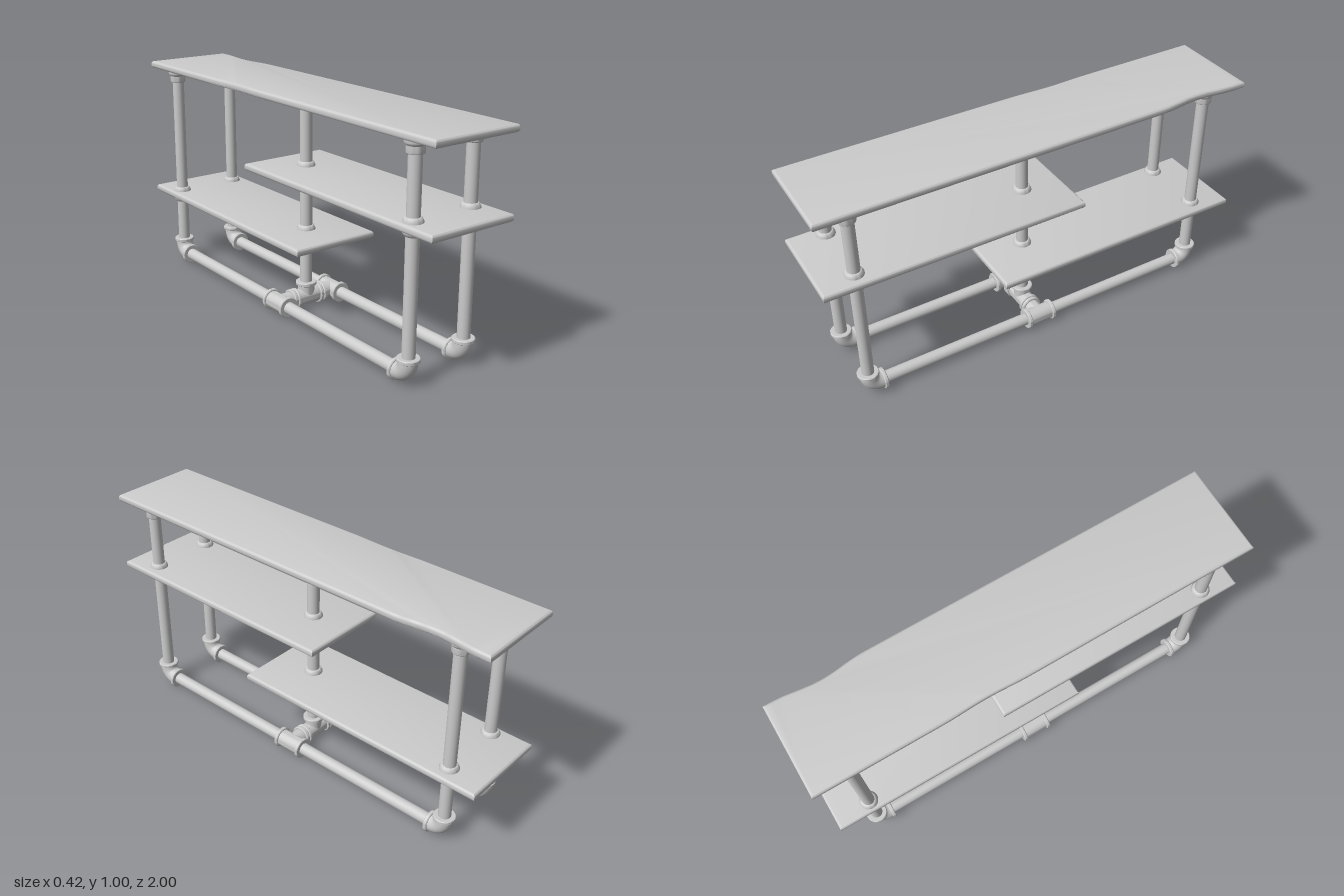
import * as THREE from 'three';
import { toCreasedNormals } from 'three/addons/utils/BufferGeometryUtils.js';

const SEG = 32;
const PIPE_R = 0.027;
const BASE_Y = 0.048;
const MID_X = -0.009, SIDE = 0.146;          // pipe columns across the width
const MID_Z = 0.005, END = 0.84;             // pipe columns along the length
const UP = new THREE.Vector3(0, 1, 0);

export function createModel() {
  const model = new THREE.Group();
  const material = new THREE.MeshStandardMaterial({ color: 0xcccccc });

  function add(name, geometry, parent = model) {
    const mesh = new THREE.Mesh(geometry, material);
    mesh.name = name;
    parent.add(mesh);
    return mesh;
  }

  // Turned part: [radius, height] pairs from bottom to top, along any axis
  function turned(name, profile, position, direction = [0, 1, 0], parent = model) {
    const points = profile.map(([r, y]) => new THREE.Vector2(r, y));
    const mesh = add(name, toCreasedNormals(new THREE.LatheGeometry(points, SEG), 0.6), parent);
    mesh.position.set(...position);
    mesh.quaternion.setFromUnitVectors(UP, new THREE.Vector3(...direction));
    return mesh;
  }

  function pipe(name, from, to) {
    const a = new THREE.Vector3(...from), b = new THREE.Vector3(...to);
    const mesh = add(name, new THREE.CylinderGeometry(PIPE_R, PIPE_R, a.distanceTo(b), SEG));
    mesh.position.copy(a).lerp(b, 0.5);
    mesh.quaternion.setFromUnitVectors(UP, b.sub(a).normalize());
  }

  // Rim at the mouth of a fitting, ending at height 0
  const rim = [[0, -0.017], [0.043, -0.017], [0.047, -0.014], [0.047, -0.003], [0.044, 0], [0, 0]];

  // Tee fitting: straight run with two rims plus one branch
  function tee(name, position, run, branch) {
    const group = new THREE.Group();
    group.name = name;
    group.position.set(...position);
    model.add(group);
    const half = 0.07, reach = 0.073;
    turned('teeRun', [[0, -half + 0.01], [0.039, -half + 0.01], [0.039, half - 0.01], [0, half - 0.01]],
      [0, 0, 0], run, group);
    turned('teeBranch', [[0, 0], [0.037, 0], [0.037, reach - 0.01], [0, reach - 0.01]],
      [0, 0, 0], branch, group);
    for (const s of [-1, 1]) {
      turned('teeRim', rim, run.map(v => v * half * s), run.map(v => v * s), group);
    }
    turned('teeRim', rim, branch.map(v => v * reach), branch, group);
  }

  // Elbow fitting: quarter bend from a vertical pipe into the base rail
  function elbow(x, z, inward) {
    const group = new THREE.Group();
    group.name = 'elbow';
    group.position.set(x, BASE_Y, z);
    model.add(group);
    const bend = 0.058;
    const path = new THREE.QuadraticBezierCurve3(
      new THREE.Vector3(0, bend, 0),
      new THREE.Vector3(0, 0.004, inward * 0.004),
      new THREE.Vector3(0, 0, inward * bend));
    add('elbowBend', new THREE.TubeGeometry(path, 16, 0.04, SEG), group);
    turned('elbowRim', rim, [0, 0.073, 0], [0, 1, 0], group);
    turned('elbowRim', rim, [0, 0, inward * 0.073], [0, 0, inward], group);
  }

  // Shelf board: plan outline with rounded edges, given its top height
  function shelf(name, top, outline) {
    const bevel = 0.011, thickness = 0.033;
    const shape = new THREE.Shape(outline.map(([x, z]) => new THREE.Vector2(x, z)));
    const geometry = new THREE.ExtrudeGeometry(shape, {
      depth: thickness - 2 * bevel, bevelEnabled: true,
      bevelThickness: bevel, bevelSize: bevel, bevelOffset: -bevel, bevelSegments: 3,
    });
    geometry.rotateX(Math.PI / 2);
    geometry.translate(0, top - bevel, 0);
    add(name, toCreasedNormals(geometry, 0.6));
  }

  // Long edge with a shallow cosine hollow worn into it
  function wornEdge(x, zMid, halfLength, depth) {
    const points = [];
    for (let i = 0; i <= 16; i++) {
      const t = i / 8 - 1;
      const hollow = depth * (1 + Math.cos(Math.PI * t)) / 2;
      points.push([x - Math.sign(x) * hollow, zMid + t * halfLength]);
    }
    return points;
  }

  // Boards
  const W = 0.208;
  shelf('topShelf', 1, [
    [-W, -1], ...[[W, -1]], ...wornEdge(W, -0.76, 0.2, 0.018), [W, 1],
    [-W, 1], ...wornEdge(-W, -0.25, 0.2, 0.006).reverse(),
  ]);
  const board = (z0, z1) => [[-W, z0], [W, z0], [W, z1], [-W, z1]];
  shelf('upperShelf', 0.66, board(-0.18, 1));
  shelf('lowerShelf', 0.369, board(-1, 0.21));

  // Flanges: a stepped one under the top, tapered ones either side of a shelf
  const topFlange = [[0, -0.052], [0.034, -0.052], [0.036, -0.049], [0.036, -0.022],
    [0.042, -0.015], [0.044, -0.01], [0.044, 0], [0, 0]];
  const shelfFlange = [[0, 0], [0.041, 0], [0.041, 0.005], [0.034, 0.019], [0.031, 0.021], [0, 0.021]];
  function collar(x, z, top) {
    turned('shelfFlange', shelfFlange, [x, top - 0.001, z]);
    turned('shelfFlange', shelfFlange, [x, top - 0.032, z], [0, -1, 0]);
  }
  function upright(x, z) {
    pipe('upright', [x, BASE_Y + 0.05, z], [x, 0.975, z]);
    turned('topFlange', topFlange, [x, 0.968, z]);
  }

  // Side frames: base rail, elbows, end uprights and the crossing tee
  for (const side of [-1, 1]) {
    const x = MID_X + side * SIDE;
    pipe('baseRail', [x, BASE_Y, MID_Z - END + 0.05], [x, BASE_Y, MID_Z + END - 0.05]);
    for (const end of [-1, 1]) {
      const z = MID_Z + end * END;
      elbow(x, z, -end);
      upright(x, z);
      collar(x, z, end > 0 ? 0.66 : 0.369);
    }
    tee('sideTee', [x, BASE_Y, MID_Z], [0, 0, 1], [-side, 0, 0]);
  }

  // Centre post on its tee, passing through both shelves
  tee('centreTee', [MID_X, BASE_Y, MID_Z], [1, 0, 0], [0, 1, 0]);
  pipe('crossPipe', [MID_X - 0.1, BASE_Y, MID_Z], [MID_X + 0.1, BASE_Y, MID_Z]);
  upright(MID_X, MID_Z);
  collar(MID_X, MID_Z, 0.66);
  collar(MID_X, MID_Z, 0.369);

  return model;
}
